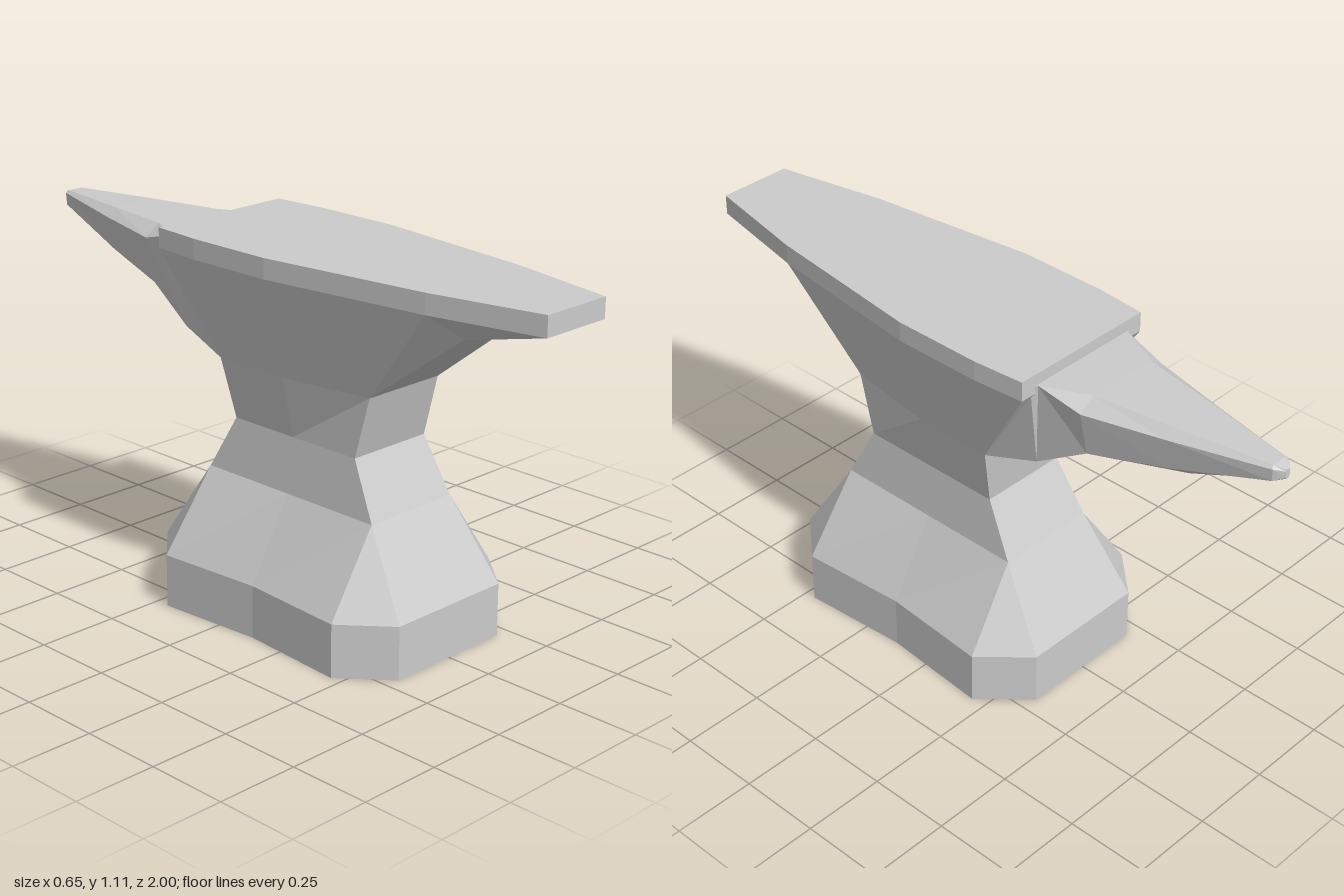
import * as THREE from 'three';

// Half a cross-section (+x side) mirrored into a closed ring.
const ring = (half) => {
  const pts = half.map((p) => new THREE.Vector3(...p));
  const mirrored = half.map(([x, y, z]) => new THREE.Vector3(-x, y, z)).reverse();
  return [...pts, ...mirrored];
};

// Level ring from [x, z] pairs.
const level = (y, pairs) => pairs.map(([x, z]) => [x, y, z]);

// Faceted skin through a series of rings, with optional end caps.
function loft(halves, capStart, capEnd) {
  const rings = halves.map(ring);
  const n = rings[0].length;
  const out = [];
  const tri = (a, b, c) => {
    if (new THREE.Triangle(a, b, c).getArea() < 1e-6) return;
    for (const p of [a, b, c]) out.push(p.x, p.y, p.z);
  };
  for (let i = 0; i < rings.length - 1; i++) {
    for (let j = 0; j < n; j++) {
      const k = (j + 1) % n;
      const [a, b, c, d] = [rings[i][j], rings[i][k], rings[i + 1][k], rings[i + 1][j]];
      tri(a, b, c);
      tri(a, c, d);
    }
  }
  const cap = (r, flip) => {
    const mid = r.reduce((s, p) => s.add(p), new THREE.Vector3()).divideScalar(n);
    r.forEach((p, j) => {
      const q = r[(j + 1) % n];
      if (flip) tri(mid, q, p);
      else tri(mid, p, q);
    });
  };
  if (capStart) cap(rings[0], true);
  if (capEnd) cap(rings[rings.length - 1], false);
  const geo = new THREE.BufferGeometry();
  geo.setAttribute('position', new THREE.Float32BufferAttribute(out, 3));
  geo.computeVertexNormals();
  return geo;
}

export function createModel() {
  const group = new THREE.Group();
  const material = new THREE.MeshStandardMaterial({ color: 0xcccccc, flatShading: true });
  const add = (name, geo) => {
    const mesh = new THREE.Mesh(geo, material);
    mesh.name = name;
    group.add(mesh);
  };

  // Cross-sections run front, front corner, middle, back corner, back.
  const foot = [[0.205, 0.605], [0.325, 0.465], [0.3, 0.13], [0.325, -0.205], [0.2, -0.34]];
  const narrow = (y, front, xf, xm, back, xb) =>
    level(y, [[xf, front], [xf, front], [xm, 0.13], [xb, back], [xb, back]]);
  const shoulder = narrow(0.4, 0.455, 0.16, 0.16, -0.19, 0.16);
  const waist = narrow(0.565, 0.37, 0.14, 0.14, -0.1, 0.14);
  const neck = narrow(0.75, 0.42, 0.137, 0.18, -0.12, 0.18);
  const face = [[0.115, 1], [0.185, 0.655], [0.25, 0.13], [0.25, -0.15], [0.237, -0.31]];
  const faceBottom = level(1.045, face);
  const underHeel = [[0.105, 0.975, 0.72], ...faceBottom.slice(1)];

  // Chamfered foot, sloping into the waist
  add('base', loft([level(0, foot), level(0.16, foot), shoulder], true, false));
  add('waist', loft([shoulder, waist, neck], false, false));
  // Flaring body with the wedge under the heel
  add('body', loft([neck, underHeel, faceBottom], false, false));
  // Flat working face
  add('face', loft([faceBottom, level(1.105, face)], false, true));

  // Tapering horn: top edge, side edge, lower edge, keel
  add('horn', loft([
    [[0.2, 1.07, -0.305], [0.2, 1.07, -0.305], [0.18, 0.75, -0.12], [0, 0.75, -0.12]],
    [[0.18, 1.07, -0.315], [0.18, 1.07, -0.315], [0.155, 0.8, -0.29], [0, 0.8, -0.29]],
    [[0.115, 1.07, -0.45], [0.165, 1.035, -0.45], [0.135, 0.895, -0.45], [0, 0.86, -0.45]],
    [[0.075, 1.066, -0.69], [0.105, 1.04, -0.69], [0.085, 0.94, -0.69], [0, 0.88, -0.69]],
    [[0.025, 1.06, -0.97], [0.033, 1.052, -0.975], [0.03, 1.015, -0.975], [0, 1.005, -0.975]],
    [[0.006, 1.05, -1], [0.008, 1.045, -1], [0.008, 1.025, -1], [0, 1.02, -1]],
  ], false, true));

  return group;
}
